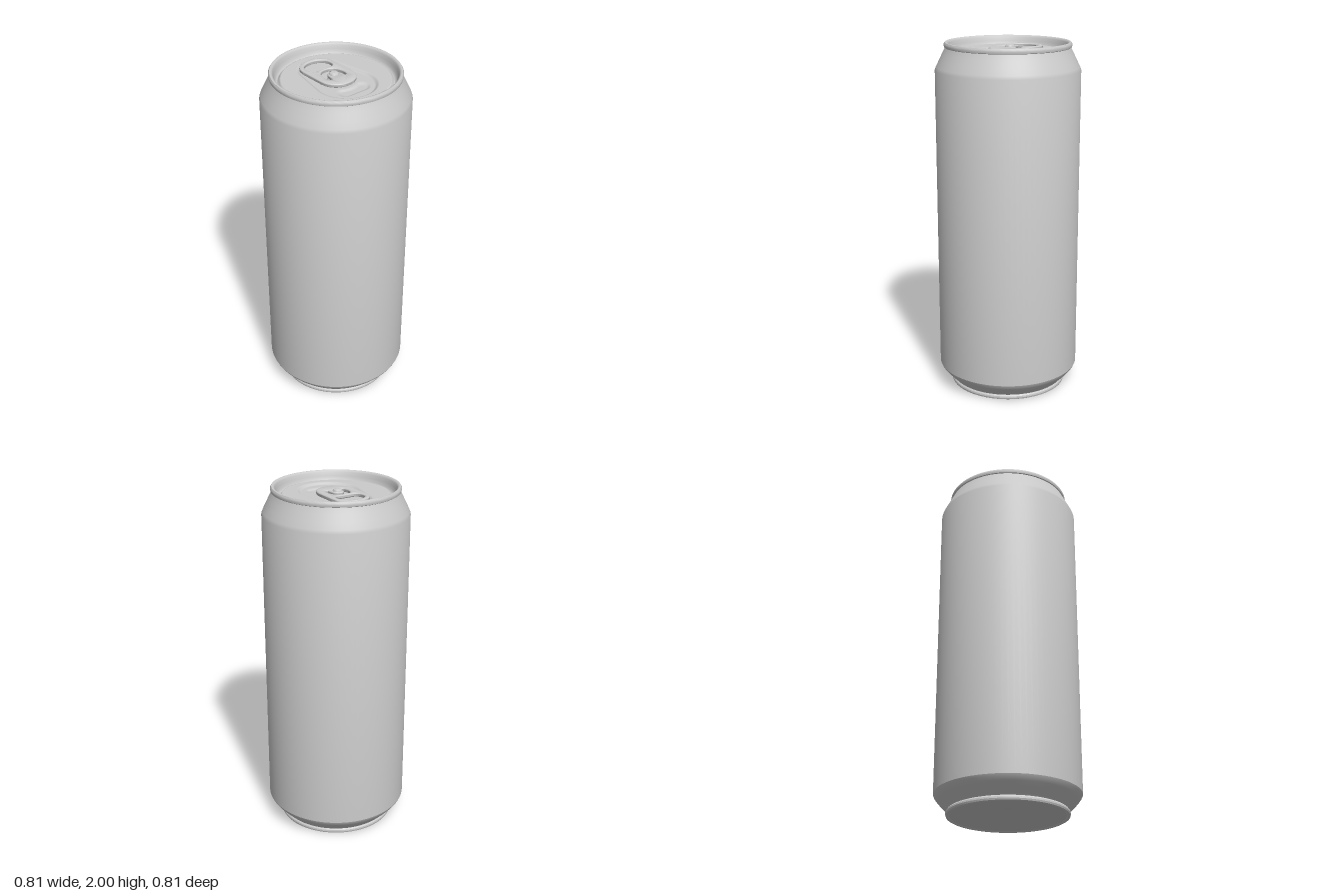
import * as THREE from 'three';
import { toCreasedNormals } from 'three/addons/utils/BufferGeometryUtils.js';

const PANEL_R = 0.288, PANEL_Y = 1.955;
const material = new THREE.MeshStandardMaterial({ color: 0xcccccc });

function addMesh(parent, name, geometry) {
  const mesh = new THREE.Mesh(geometry, material);
  mesh.name = name;
  parent.add(mesh);
  return mesh;
}

function lathe(points, segments, crease = 0.4) {
  const profile = points.map(([r, y]) => new THREE.Vector2(r, y));
  return toCreasedNormals(new THREE.LatheGeometry(profile, segments), crease);
}

// Signed distance to a capsule along z with a different radius at each end
function capsuleDistance(x, z, z1, r1, z2, r2) {
  const h = z2 - z1, px = Math.abs(x), pz = z - z1;
  const b = (r1 - r2) / h, a = Math.sqrt(1 - b * b);
  const k = -b * px + a * pz;
  if (k < 0) return Math.hypot(px, pz) - r1;
  if (k > a * h) return Math.hypot(px, pz - h) - r2;
  return px * a + pz * b - r1;
}

// Height of the pressed lid panel: a pear-shaped recess with a crescent dent
function panelHeight(x, z) {
  const recess = capsuleDistance(x, z, -0.12, 0.128, 0.08, 0.168);
  const dent = Math.max(
    Math.hypot(Math.max(Math.abs(x) - 0.055, 0), z - 0.142) - 0.042,
    0.112 - Math.hypot(x, z - 0.005)
  );
  return PANEL_Y
    - 0.012 * (1 - THREE.MathUtils.smoothstep(recess, -0.018, 0.002))
    - 0.008 * (1 - THREE.MathUtils.smoothstep(dent, -0.016, 0.004));
}

function panelGeometry() {
  const geometry = new THREE.RingGeometry(0.0005, PANEL_R, 96, 64);
  geometry.rotateX(-Math.PI / 2);
  const p = geometry.attributes.position;
  for (let i = 0; i < p.count; i++) p.setY(i, panelHeight(p.getX(i), p.getZ(i)));
  geometry.computeVertexNormals();
  return geometry;
}

// Tab outline and its two openings, drawn with shape y = -z
function tabGeometry() {
  const tab = new THREE.Shape();
  tab.moveTo(-0.105, 0);
  tab.bezierCurveTo(-0.105, -0.065, -0.06, -0.105, 0, -0.105);
  tab.bezierCurveTo(0.06, -0.105, 0.105, -0.065, 0.105, 0);
  tab.lineTo(0.105, 0.14);
  tab.bezierCurveTo(0.105, 0.2, 0.06, 0.234, 0, 0.234);
  tab.bezierCurveTo(-0.06, 0.234, -0.105, 0.2, -0.105, 0.14);
  tab.closePath();

  const finger = new THREE.Path();
  finger.moveTo(-0.045, 0.1);
  finger.lineTo(0.045, 0.1);
  finger.bezierCurveTo(0.07, 0.1, 0.079, 0.12, 0.079, 0.145);
  finger.bezierCurveTo(0.079, 0.185, 0.045, 0.208, 0, 0.208);
  finger.bezierCurveTo(-0.045, 0.208, -0.079, 0.185, -0.079, 0.145);
  finger.bezierCurveTo(-0.079, 0.12, -0.07, 0.1, -0.045, 0.1);

  const slot = new THREE.Path();
  slot.moveTo(0.064, 0.01);
  slot.bezierCurveTo(0.064, 0.06, 0.04, 0.087, 0, 0.087);
  slot.bezierCurveTo(-0.04, 0.087, -0.064, 0.06, -0.064, 0.01);
  slot.bezierCurveTo(-0.064, -0.015, -0.052, -0.03, -0.037, -0.02);
  slot.lineTo(-0.034, 0.018);
  slot.bezierCurveTo(-0.03, 0.06, 0.03, 0.06, 0.034, 0.018);
  slot.lineTo(0.037, -0.02);
  slot.bezierCurveTo(0.052, -0.03, 0.064, -0.015, 0.064, 0.01);
  tab.holes.push(finger, slot);

  const geometry = new THREE.ExtrudeGeometry(tab, {
    depth: 0.008, curveSegments: 10, bevelEnabled: true,
    bevelThickness: 0.007, bevelSize: 0.007, bevelOffset: -0.007, bevelSegments: 4,
  });
  geometry.rotateX(-Math.PI / 2);
  return toCreasedNormals(geometry, 0.7);
}

export function createModel() {
  const can = new THREE.Group();
  can.name = 'drinkCan';

  // Domed base, foot ring, wall and tapered neck
  addMesh(can, 'body', lathe([
    [0, 0.05], [0.1, 0.046], [0.2, 0.035], [0.27, 0.021], [0.315, 0.007],
    [0.32, 0.002], [0.326, 0], [0.333, 0.004], [0.336, 0.013], [0.335, 0.022], [0.329, 0.03],
    [0.335, 0.038], [0.36, 0.062], [0.385, 0.09], [0.399, 0.109], [0.404, 0.12],
    [0.404, 1.848], [0.397, 1.866], [0.38, 1.9], [0.362, 1.938], [0.35, 1.962], [0.346, 1.972],
  ], 80));

  // Rolled lip, inner wall and countersunk groove up to the panel
  addMesh(can, 'rim', lathe([
    [0.346, 1.97], [0.351, 1.973], [0.353, 1.982], [0.352, 1.992], [0.347, 1.999],
    [0.341, 2], [0.334, 1.997], [0.329, 1.988], [0.325, 1.968], [0.319, 1.95],
    [0.313, 1.94], [0.307, 1.937], [0.301, 1.94], [0.296, 1.949], [0.292, 1.954], [PANEL_R, PANEL_Y],
  ], 96, 0.7));

  addMesh(can, 'lidPanel', panelGeometry());

  // Pull tab and its rivet
  addMesh(can, 'pullTab', tabGeometry()).position.y = 1.955;
  addMesh(can, 'rivet', lathe([
    [0.026, 1.94], [0.026, 1.972], [0.024, 1.977], [0.018, 1.981], [0.009, 1.983], [0, 1.984],
  ], 24, 0.7)).position.z = -0.016;
  // Low flange that holds the tab around the rivet
  addMesh(can, 'rivetBase', lathe([
    [0.034, 1.942], [0.033, 1.948], [0.028, 1.951], [0, 1.951],
  ], 24)).position.z = -0.016;

  return can;
}
